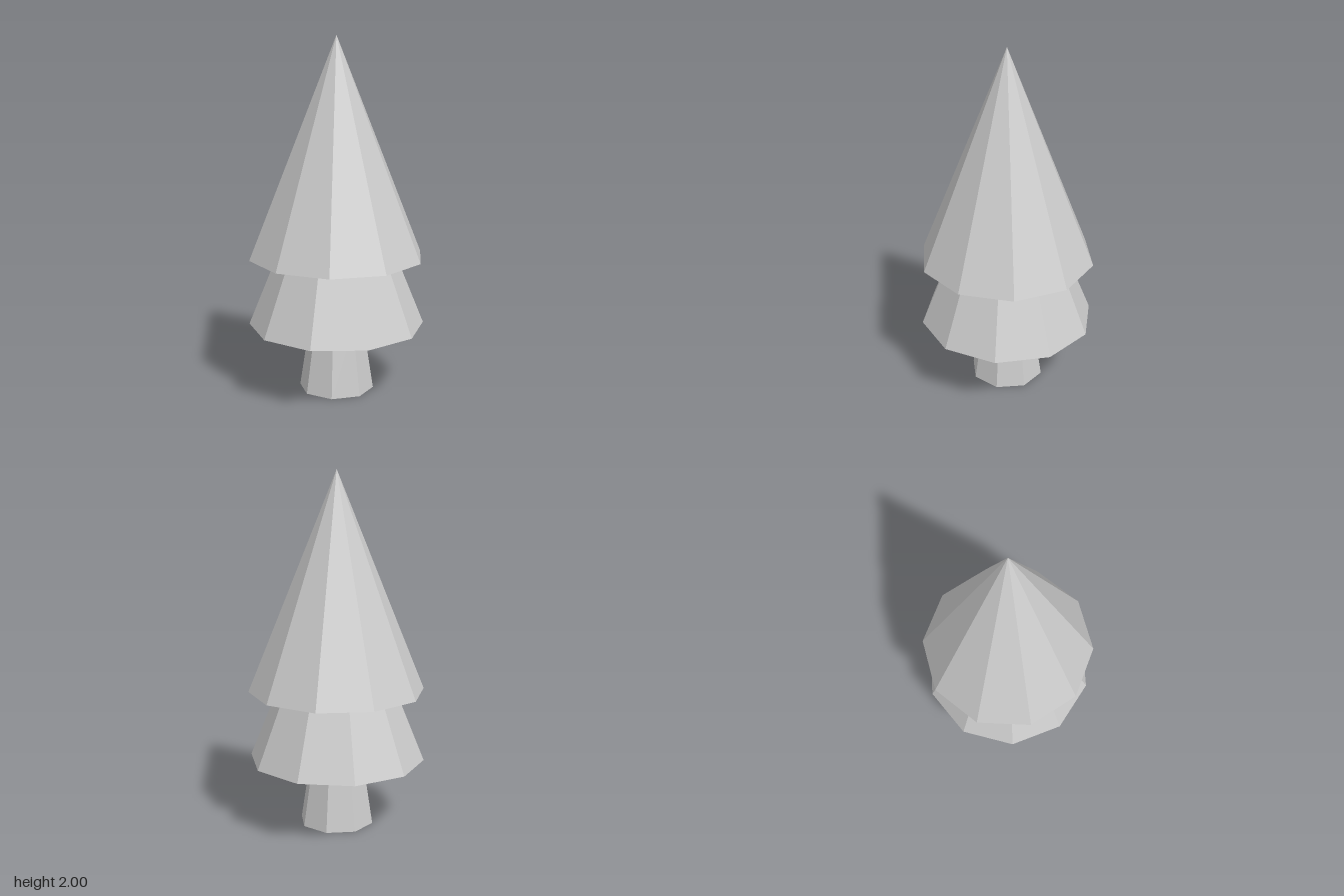
import * as THREE from 'three';

const material = new THREE.MeshStandardMaterial({ color: 0xcccccc, flatShading: true });

// Adds a faceted mesh standing on the given height, turned about y
function addPart(group, name, geometry, baseY, turn = 0) {
  geometry.computeBoundingBox();
  geometry.translate(0, baseY - geometry.boundingBox.min.y, 0);
  const mesh = new THREE.Mesh(geometry, material);
  mesh.name = name;
  mesh.rotation.y = turn;
  group.add(mesh);
}

export function createModel() {
  const tree = new THREE.Group();
  tree.name = 'tree';

  // Tapered eight-sided trunk, its top just inside the foliage
  addPart(tree, 'trunk', new THREE.CylinderGeometry(0.152, 0.212, 0.39, 8), 0);

  // Two equal ten-sided cones; the upper one is turned by 12 degrees
  const radius = 0.496, height = 1.225;
  addPart(tree, 'lowerFoliage', new THREE.ConeGeometry(radius, height, 10), 0.38);
  addPart(tree, 'upperFoliage', new THREE.ConeGeometry(radius, height, 10), 0.775, THREE.MathUtils.degToRad(12));

  return tree;
}
